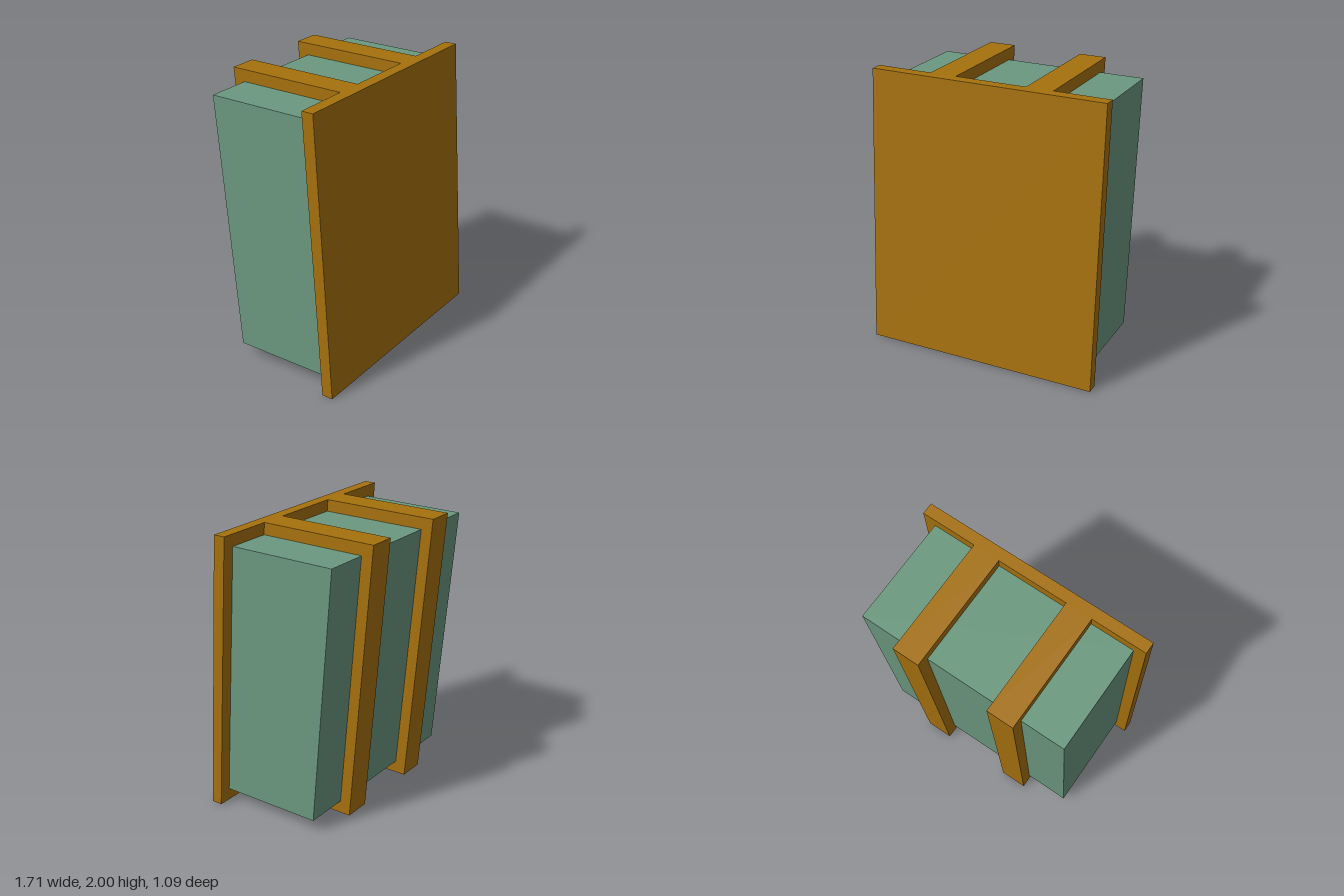
import * as THREE from 'three';

// Slanted solid: a side outline of [z, y] points, optionally hollowed, extruded across x
function sideExtrude(name, outline, x0, x1, material, hole) {
  const toPoints = (list) => list.map(([z, y]) => new THREE.Vector2(z, y));
  const shape = new THREE.Shape(toPoints(outline));
  if (hole) shape.holes.push(new THREE.Path(toPoints(hole)));
  const geometry = new THREE.ExtrudeGeometry(shape, { depth: x1 - x0, bevelEnabled: false });
  geometry.rotateY(-Math.PI / 2);
  geometry.translate(x1, 0, 0);
  const mesh = new THREE.Mesh(geometry, material);
  mesh.name = name;
  return mesh;
}

export function createModel() {
  const group = new THREE.Group();
  group.name = 'strappedCase';
  const brown = new THREE.MeshStandardMaterial({ color: 0xa6710d, flatShading: true });
  const green = new THREE.MeshStandardMaterial({ color: 0x6b987f, flatShading: true });

  // Leaning front board
  const panel = [[0.465, 0], [0.545, 0], [0.41, 2], [0.325, 2]];
  group.add(sideExtrude('frontPanel', panel, -0.855, 0.855, brown));

  // Block held behind the board
  const block = [[-0.29, 0.09], [0.459, 0.09], [0.33, 1.915], [-0.455, 1.915]];
  group.add(sideExtrude('block', block, -0.77, 0.77, green));

  // Two frame straps wrapping top, back and bottom of the block
  const strap = [[-0.365, 0], [0.467, 0], [0.327, 2], [-0.545, 2]];
  for (const side of [-1, 1]) {
    const x = side * 0.355;
    group.add(sideExtrude(side < 0 ? 'rightStrap' : 'leftStrap', strap, x - 0.097, x + 0.097, brown,
      [[-0.29, 0.09], [0.455, 0.09], [0.325, 1.915], [-0.455, 1.915]]));
  }
  return group;
}
